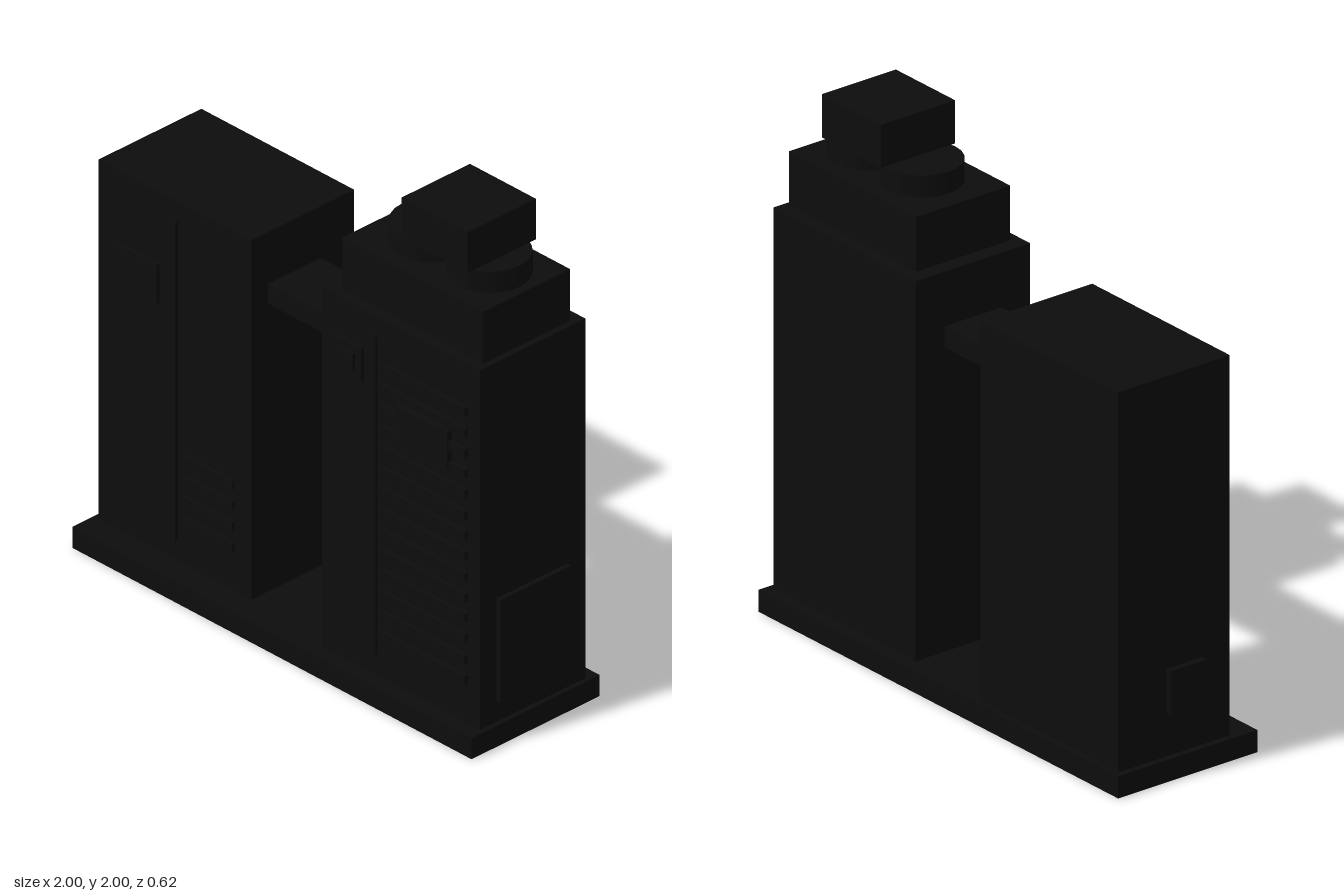
import * as THREE from 'three';

export function createModel() {
  const model = new THREE.Group();
  model.name = 'twinTowers';
  const black = new THREE.MeshStandardMaterial({ color: 0x0d0d0d });
  black.name = 'black';

  const add = (parent, name, geometry) => {
    const mesh = new THREE.Mesh(geometry, black);
    mesh.name = name;
    parent.add(mesh);
    return mesh;
  };
  // Box given by its limits on each axis
  const block = (parent, name, x0, x1, y0, y1, z0, z1) => {
    const mesh = add(parent, name, new THREE.BoxGeometry(x1 - x0, y1 - y0, z1 - z0));
    mesh.position.set((x0 + x1) / 2, (y0 + y1) / 2, (z0 + z1) / 2);
    return mesh;
  };
  // Evenly spaced horizontal window bands
  const bands = (parent, count, x0, x1, zWall, depth) => {
    for (let i = 0; i < count; i++) {
      const y = 0.265 + i * 0.0835;
      block(parent, 'windowBand', x0, x1, y - 0.017, y + 0.017, zWall - 0.005, zWall + depth);
    }
  };

  block(model, 'base', -1, 1, 0, 0.085, -0.31, 0.31);
  block(model, 'skyBridge', -0.215, 0.195, 1.25, 1.33, -0.13, 0.125);

  // Plain tower
  const low = new THREE.Group();
  low.name = 'lowTower';
  model.add(low);
  block(low, 'lowTowerBody', -0.975, -0.21, 0.085, 1.54, -0.29, 0.207);
  block(low, 'lowTowerRib', -0.597, -0.577, 0.17, 1.46, 0.2, 0.222);
  block(low, 'lowTowerSign', -0.875, -0.67, 1.09, 1.25, 0.2, 0.222);
  block(low, 'sideVent', -1, -0.97, 0.25, 0.42, -0.075, 0.085);
  bands(low, 4, -0.55, -0.295, 0.207, 0.012);

  // Stepped tower
  const tall = new THREE.Group();
  tall.name = 'tallTower';
  model.add(tall);
  block(tall, 'tallTowerBody', 0.19, 0.98, 0.085, 1.54, -0.26, 0.25);
  block(tall, 'setback', 0.25, 0.955, 1.54, 1.75, -0.21, 0.21);
  for (const x of [0.48, 0.77]) {
    const drum = add(tall, 'roofDrum', new THREE.CylinderGeometry(0.15, 0.15, 0.085, 24));
    drum.position.set(x, 1.7925, 0);
  }
  block(tall, 'crown', 0.5, 0.83, 1.835, 2, -0.165, 0.165);
  block(tall, 'tallTowerRib', 0.445, 0.468, 0.17, 1.46, 0.24, 0.26);
  block(tall, 'sidePanel', 0.97, 1, 0.17, 0.585, -0.17, 0.17);
  bands(tall, 14, 0.49, 0.92, 0.25, 0.016);

  // Signs on the stepped tower's front
  block(tall, 'largeSign', 0.58, 0.84, 1.09, 1.24, 0.24, 0.275);
  block(tall, 'smallSign', 0.265, 0.4, 1.25, 1.385, 0.24, 0.264);
  block(tall, 'smallSignPlate', 0.297, 0.368, 1.285, 1.355, 0.26, 0.275);

  return model;
}
